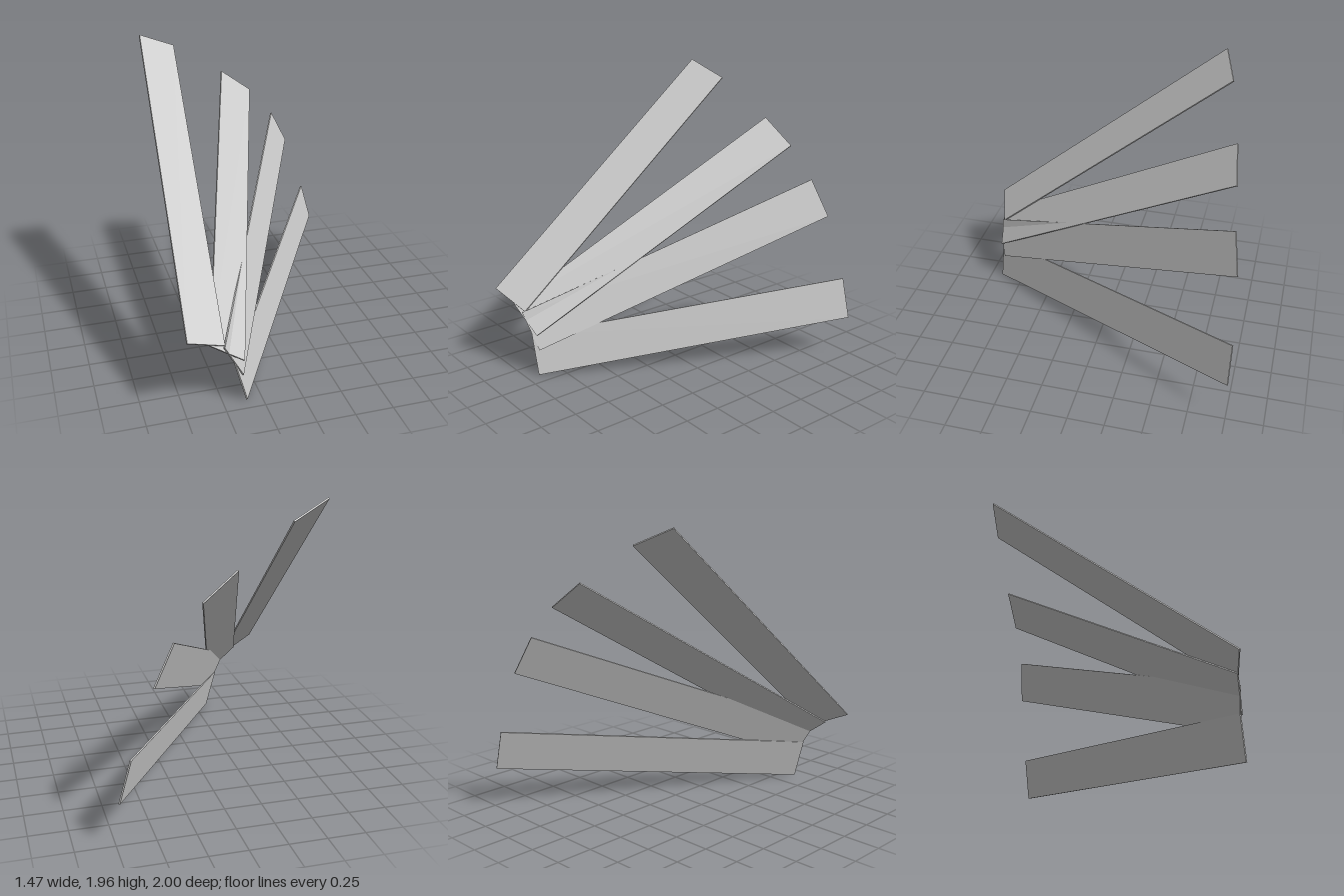
import * as THREE from 'three';

const LENGTH = 2.205, WIDTH = 0.284, THICKNESS = 0.01;

// Each slat: opposite corners of its face (near right, far left) and its far right corner
const SLATS = [
  { nearRight: [-0.487, 0.43, 0.92], farRight: [-0.405, 1.86, -0.763], farLeft: [-0.652, 1.968, -0.68] },
  { nearRight: [-0.36, 0.292, 0.91], farRight: [0.19, 1.442, -0.895], farLeft: [-0.035, 1.613, -0.856] },
  { nearRight: [-0.364, 0.178, 0.891], farRight: [0.5, 0.98, -0.973], farLeft: [0.37, 1.23, -0.927] },
  { nearRight: [-0.348, 0.008, 0.915], farRight: [0.724, 0.28, -0.993], farLeft: [0.651, 0.554, -0.997] },
];

export function createModel() {
  const group = new THREE.Group();
  group.name = 'slatFan';
  const material = new THREE.MeshStandardMaterial({ color: 0xcccccc, flatShading: true });
  const geometry = new THREE.BoxGeometry(WIDTH, LENGTH, THICKNESS);

  SLATS.forEach((slat, i) => {
    const nearRight = new THREE.Vector3(...slat.nearRight);
    const farRight = new THREE.Vector3(...slat.farRight);
    const farLeft = new THREE.Vector3(...slat.farLeft);

    // Square local axes: along the slat, out of its face, across it
    const along = farRight.clone().sub(nearRight).normalize();
    const normal = farRight.clone().sub(farLeft).cross(along).normalize();
    const across = along.clone().cross(normal);

    const mesh = new THREE.Mesh(geometry, material);
    mesh.name = `slat${i + 1}`;
    mesh.quaternion.setFromRotationMatrix(new THREE.Matrix4().makeBasis(across, along, normal));
    mesh.position.copy(nearRight).add(farLeft).multiplyScalar(0.5);
    group.add(mesh);
  });
  return group;
}
